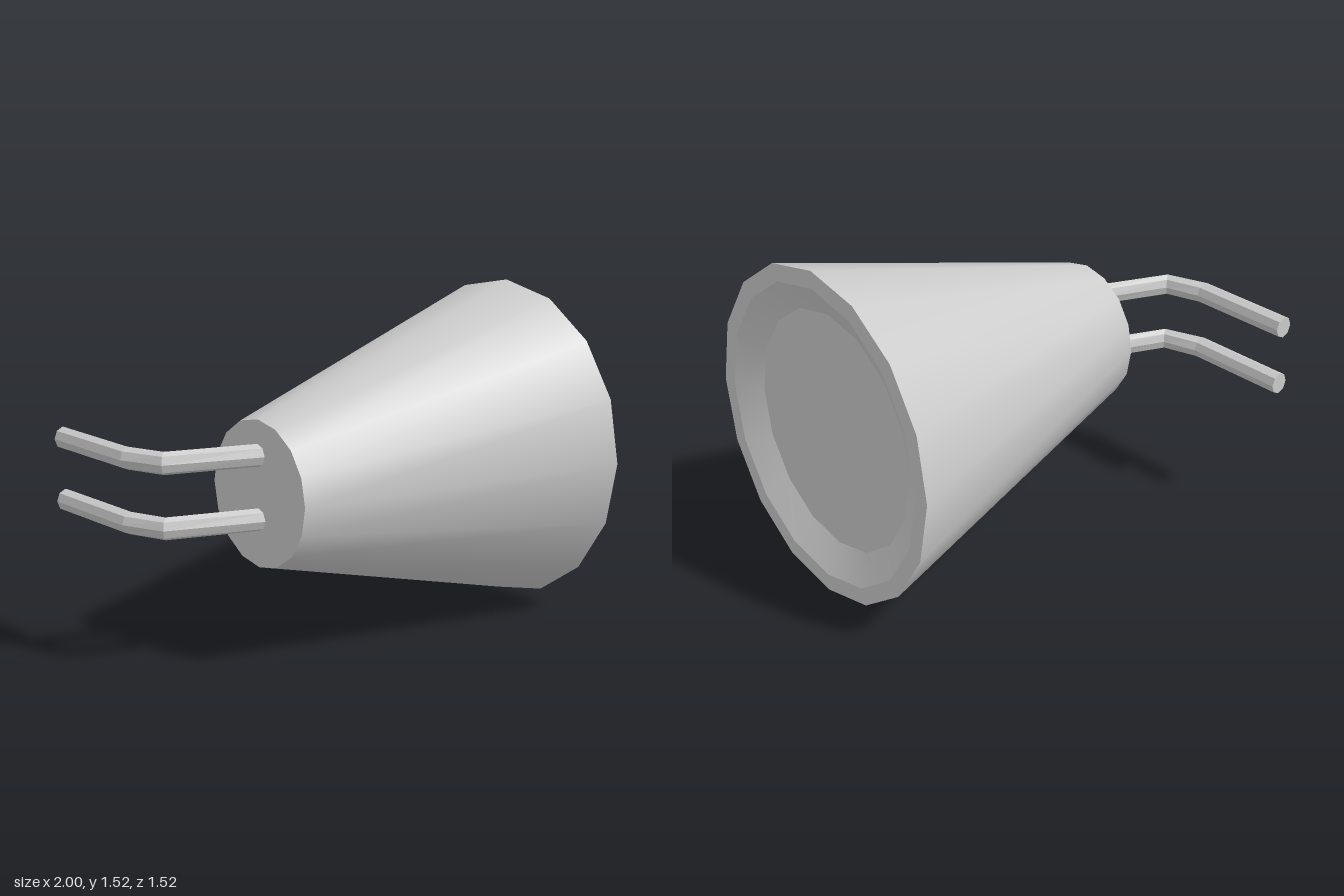
import * as THREE from 'three';
import { toCreasedNormals } from 'three/addons/utils/BufferGeometryUtils.js';

const grey = new THREE.MeshStandardMaterial({ color: 0xcccccc });
const flatGrey = new THREE.MeshStandardMaterial({ color: 0xcccccc, flatShading: true });

// Sweep an octagon along stations [x, z, sideX, sideZ]; the side vector mitres the bends
function sweptPipe(stations, halfHeight, sides = 8) {
  const pos = [], idx = [];
  for (const [x, z, sx, sz] of stations) {
    for (let i = 0; i < sides; i++) {
      const a = (i / sides) * Math.PI * 2;
      pos.push(x + sx * Math.cos(a), halfHeight * Math.sin(a), z + sz * Math.cos(a));
    }
  }
  const last = (stations.length - 1) * sides;
  for (let s = 0; s < last; s += sides) {
    for (let i = 0; i < sides; i++) {
      const j = (i + 1) % sides;
      idx.push(s + i, s + j, s + sides + i, s + j, s + sides + j, s + sides + i);
    }
  }
  // end caps
  for (let i = 1; i < sides - 1; i++) {
    idx.push(0, i + 1, i, last, last + i, last + i + 1);
  }
  const g = new THREE.BufferGeometry();
  g.setAttribute('position', new THREE.Float32BufferAttribute(pos, 3));
  g.setIndex(idx);
  g.computeVertexNormals();
  return g;
}

export function createModel() {
  const model = new THREE.Group();
  model.name = 'taperedShade';

  // Tapered body: closed back, flat rim and shallow dished front, slightly oval
  const profile = [
    [0, -0.52], [0.429, -0.52], [1, 1], [0.897, 1], [0.719, 0.93], [0, 0.93],
  ].map(([r, h]) => new THREE.Vector2(r, h));
  let shell = new THREE.LatheGeometry(profile, 16);
  shell.rotateZ(-Math.PI / 2);
  shell.scale(1, 0.76, 0.703);
  shell = toCreasedNormals(shell, 0.45);
  const body = new THREE.Mesh(shell, grey);
  body.name = 'body';
  body.position.set(0, 0.765, 0.055);
  model.add(body);

  // Two bent prongs leaving the small end and turning to the back
  const prong = sweptPipe([
    [-0.955, -0.76, 0.045, 0],
    [-0.955, -0.275, 0.045, -0.008],
    [-0.895, -0.102, 0.031, -0.024],
    [-0.515, 0.056, 0, -0.045],
  ], 0.05);
  [['upperProng', 0.935], ['lowerProng', 0.652]].forEach(([name, y]) => {
    const mesh = new THREE.Mesh(prong, flatGrey);
    mesh.name = name;
    mesh.position.y = y;
    model.add(mesh);
  });

  return model;
}
